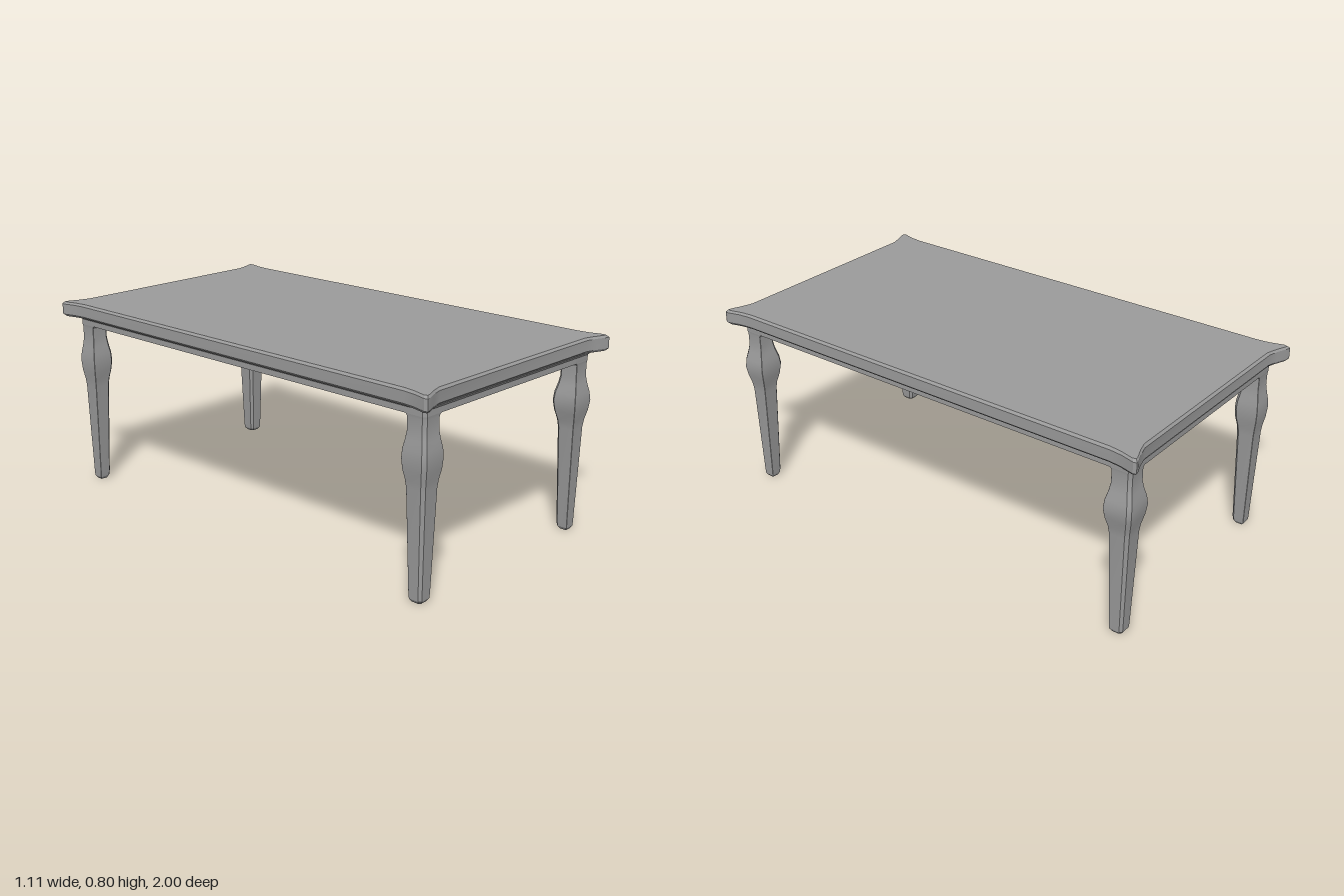
import * as THREE from 'three';
import { toCreasedNormals } from 'three/addons/utils/BufferGeometryUtils.js';

const material = new THREE.MeshStandardMaterial({ color: 0x9b9b9b });

// Skin a stack of rings (bottom to top) and close both ends with fans
function loft(name, rings) {
  const n = rings[0].length, pos = [], idx = [];
  rings.forEach(r => r.forEach(p => pos.push(...p)));
  for (let i = 0; i < rings.length - 1; i++) {
    for (let j = 0; j < n; j++) {
      const k = (j + 1) % n, a = i * n + j, b = i * n + k, c = a + n, d = b + n;
      idx.push(a, c, b, b, c, d);
    }
  }
  const addCap = (row, up) => {
    const centre = pos.length / 3, r = rings[row];
    pos.push(...[0, 1, 2].map(k => r.reduce((s, p) => s + p[k], 0) / n));
    for (let j = 0; j < n; j++) {
      const a = row * n + j, b = row * n + (j + 1) % n;
      idx.push(centre, up ? b : a, up ? a : b);
    }
  };
  addCap(0, false);
  addCap(rings.length - 1, true);
  const g = new THREE.BufferGeometry();
  g.setAttribute('position', new THREE.Float32BufferAttribute(pos, 3));
  g.setIndex(idx);
  const mesh = new THREE.Mesh(toCreasedNormals(g, 0.45), material);
  mesh.name = name;
  return mesh;
}

// Rectangle at height y: cut c on the (+,+) and (-,-) corners, d on the other two
function cutRect(x0, x1, z0, z1, c, d, y) {
  return [
    [x1, z0 + d], [x1, z1 - c], [x1 - c, z1], [x0 + d, z1],
    [x0, z1 - d], [x0, z0 + c], [x0 + c, z0], [x1 - d, z0],
  ].map(([x, z]) => [x, y, z]);
}

// Tabletop outline with flared corners, pulled in by an inset
function topRing(inset, y) {
  const q = [[0.535, 0.88], [0.541, 0.93], [0.556, 0.985], [0.552, 0.998], [0.54, 0.996], [0.495, 0.978], [0.45, 0.965]];
  const back = [...q].reverse();
  const at = (list, sx, sz) => list.map(([x, z]) => [sx * (x - inset), y, sz * (z - inset)]);
  return [...at(q, 1, 1), ...at(back, -1, 1), ...at(q, -1, -1), ...at(back, 1, -1)];
}

// Leg profile: height, inner x, outer x, corner cut
const legProfile = [
  [0, 0.442, 0.478, 0.008],
  [0.012, 0.434, 0.486, 0.01],
  [0.03, 0.432, 0.487, 0.01],
  [0.43, 0.42, 0.497, 0.012],
  [0.46, 0.417, 0.5, 0.012],
  [0.50, 0.409, 0.507, 0.013],
  [0.54, 0.406, 0.510, 0.013],
  [0.575, 0.408, 0.508, 0.013],
  [0.61, 0.415, 0.502, 0.012],
  [0.64, 0.419, 0.498, 0.012],
  [0.69, 0.419, 0.498, 0.012],
  [0.698, 0.415, 0.499, 0.012],
  [0.705, 0.405, 0.5, 0.012],
  [0.72, 0.405, 0.5, 0.012],
];
const legGap = 0.447; // legs stand this much further out in z than in x

// The legs on the model's left have a slightly fuller bulge.
// Only the outermost and innermost edges are bevelled.
function leg(name, sx, sz) {
  return loft(name, legProfile.map(([y, a, b, cut]) => {
    const swell = sx > 0 ? 0.008 * Math.exp(-(((y - 0.54) / 0.055) ** 2)) : 0;
    const swellZ = swell * 0.4;
    const xs = [sx * (a - swell), sx * (b + swell)].sort((p, q) => p - q);
    const zs = [sz * (a + legGap - swellZ), sz * (b + legGap + swellZ)].sort((p, q) => p - q);
    const [c, d] = sx * sz > 0 ? [cut, 0.001] : [0.001, cut];
    return cutRect(...xs, ...zs, c, d, y);
  }));
}

export function createModel() {
  const group = new THREE.Group();
  group.name = 'table';

  // Bevelled tabletop
  group.add(loft('tabletop', [
    topRing(0.018, 0.735), topRing(0.009, 0.737), topRing(0, 0.746),
    topRing(0, 0.79), topRing(0.009, 0.799),
  ]));

  // Solid apron widening up into the tabletop
  const apronRing = (x, y) => cutRect(-x, x, -x - legGap, x + legGap, 0.012, 0.012, y);
  group.add(loft('apron', [
    apronRing(0.5, 0.701), apronRing(0.5, 0.724),
    apronRing(0.507, 0.731), apronRing(0.514, 0.738),
  ]));

  // Four legs
  for (const sx of [-1, 1]) {
    for (const sz of [-1, 1]) {
      group.add(leg((sz > 0 ? 'front' : 'back') + (sx > 0 ? 'Left' : 'Right') + 'Leg', sx, sz));
    }
  }
  return group;
}
